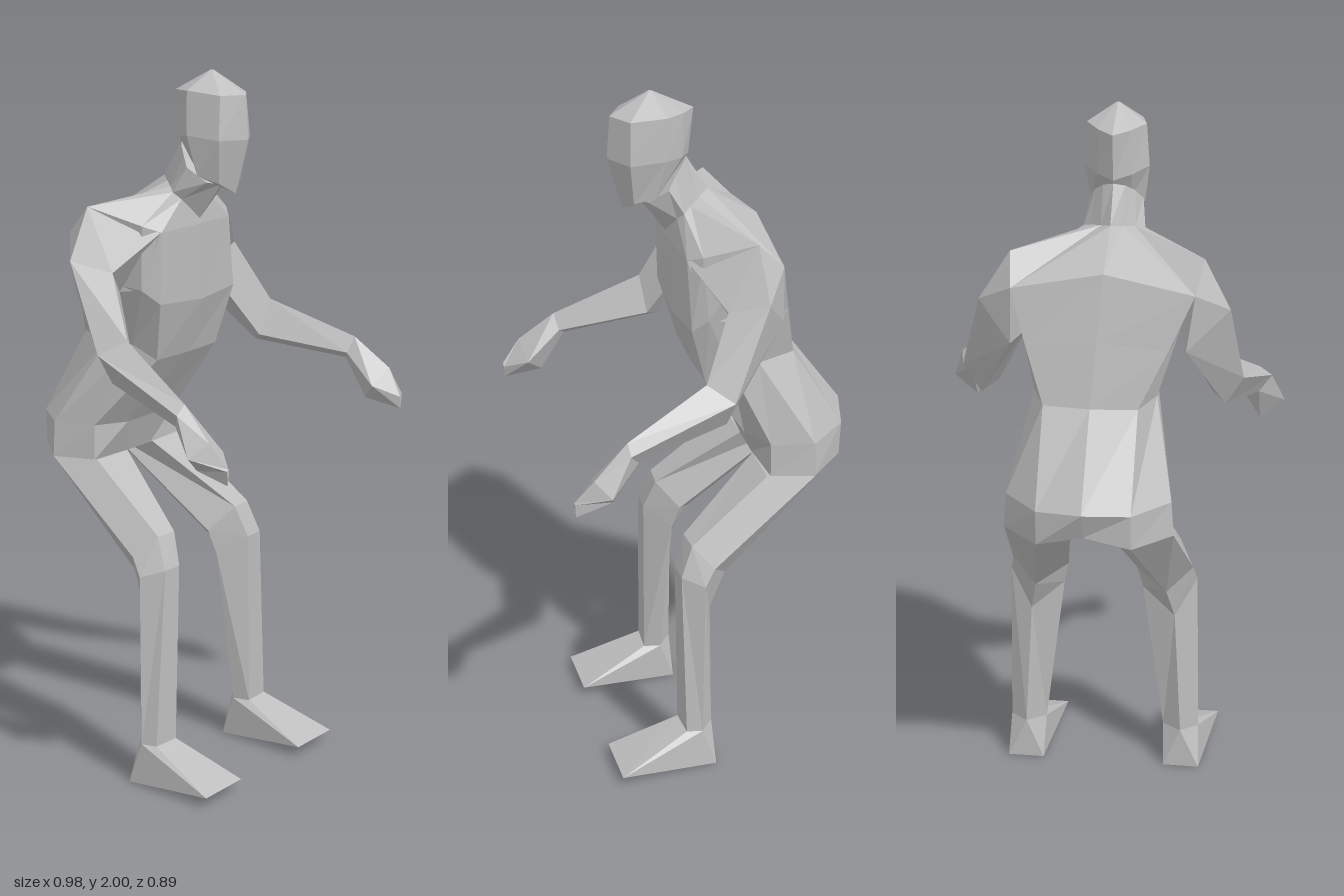
import * as THREE from 'three';
import { ConvexGeometry } from 'three/addons/geometries/ConvexGeometry.js';

const grey = new THREE.MeshStandardMaterial({ color: 0xbebebe, flatShading: true });
grey.name = 'clay grey';

// The upper body sits slightly towards its own right.
const lean = ([x, y, z]) => [x - 0.028 * THREE.MathUtils.clamp((y - 1.25) / 0.35, 0, 1), y, z];

// Skin a list of equal-length rings, closing both ends.
function loft(name, rings) {
  const n = rings[0].length, pos = rings.flat().map(lean), faces = [];
  for (let i = 0; i < rings.length - 1; i++) {
    for (let j = 0; j < n; j++) {
      const a = i * n + j, b = i * n + (j + 1) % n;
      faces.push([a, b, b + n], [a, b + n, a + n]);
    }
  }
  for (let j = 1; j < n - 1; j++) {
    const e = (rings.length - 1) * n;
    faces.push([0, j + 1, j], [e, e + j, e + j + 1]);
  }
  // Turn every face outwards by the sign of the enclosed volume.
  const v = pos.map(p => new THREE.Vector3(...p));
  const volume = faces.reduce((s, [a, b, c]) => s + v[a].dot(v[b].clone().cross(v[c])), 0);
  if (volume < 0) faces.forEach(f => f.reverse());
  const g = new THREE.BufferGeometry();
  g.setAttribute('position', new THREE.Float32BufferAttribute(faces.flat().flatMap(i => pos[i]), 3));
  g.computeVertexNormals();
  const mesh = new THREE.Mesh(g, grey);
  mesh.name = name;
  return mesh;
}

// Complete a half ring (front centre to back centre) by mirroring.
const whole = half => [...half, ...half.slice(1, -1).reverse().map(([x, y, z]) => [-x, y, z])];
const flip = (side, drop = 0) => ([x, y, z]) => [side * x, y - drop, z];

// Half rings from the crotch up to the inside of the head
const torso = [
  [[0, 0.9, -0.17], [0.05, 0.9, -0.17], [0.2, 0.9, -0.18], [0.235, 0.9, -0.3], [0.13, 0.9, -0.405], [0, 0.93, -0.41]],
  [[0, 1, -0.13], [0.11, 1, -0.13], [0.2, 1, -0.18], [0.228, 1, -0.3], [0.13, 1, -0.41], [0, 1.01, -0.445]],
  [[0, 1.2, 0], [0.14, 1.2, -0.005], [0.165, 1.24, -0.07], [0.17, 1.25, -0.15], [0.13, 1.25, -0.262], [0, 1.25, -0.275]],
  [[0, 1.36, 0.055], [0.175, 1.37, 0.04], [0.205, 1.41, 0], [0.21, 1.42, -0.1], [0.195, 1.41, -0.228], [0, 1.43, -0.238]],
  [[0, 1.575, 0.062], [0.16, 1.57, 0.045], [0.2, 1.59, 0.01], [0.265, 1.64, -0.125], [0.25, 1.56, -0.2], [0, 1.61, -0.2]],
  [[0, 1.59, 0.06], [0.065, 1.65, 0.045], [0.085, 1.67, 0.03], [0.06, 1.68, 0.005], [0.03, 1.69, -0.028], [0, 1.7, -0.06]],
  [[0, 1.69, 0.13], [0.05, 1.7, 0.12], [0.075, 1.74, 0.07], [0.055, 1.77, 0.045], [0.03, 1.79, 0.02], [0, 1.8, 0]],
];

// Half rings from chin to crown
const head = [
  [[0, 1.67, 0.18], [0.05, 1.7, 0.16], [0.075, 1.72, 0.105], [0.04, 1.74, 0.07], [0, 1.75, 0.04]],
  [[0, 1.82, 0.22], [0.074, 1.82, 0.175], [0.09, 1.83, 0.08], [0.048, 1.82, 0.025], [0, 1.81, -0.005]],
  [[0, 1.94, 0.212], [0.062, 1.94, 0.17], [0.082, 1.95, 0.075], [0.045, 1.945, 0.02], [0, 1.94, -0.02]],
  [[0, 2, 0.105], [0.004, 2, 0.103], [0.005, 2, 0.1], [0.004, 2, 0.097], [0, 2, 0.095]],
];

// Rings ordered outer, front, inner, back, from shoulder to wrist
const arm = [
  [[0.265, 1.64, -0.125], [0.165, 1.57, 0.045], [0.2, 1.41, 0], [0.25, 1.56, -0.2]],
  [[0.345, 1.5, -0.13], [0.29, 1.47, -0.03], [0.212, 1.4, -0.07], [0.24, 1.4, -0.2]],
  [[0.395, 1.26, -0.015], [0.345, 1.3, 0.05], [0.3, 1.2, 0.04], [0.345, 1.175, -0.005]],
  [[0.455, 1.18, 0.29], [0.42, 1.205, 0.29], [0.395, 1.16, 0.28], [0.42, 1.14, 0.26]],
];
const hand = [
  arm[3],
  [[0.49, 1.08, 0.35], [0.45, 1.12, 0.39], [0.372, 1.08, 0.38], [0.42, 1.03, 0.33]],
  [[0.44, 1.05, 0.44], [0.435, 1.055, 0.442], [0.43, 1.045, 0.44], [0.435, 1.01, 0.438]],
];

// Rings ordered front inner, front outer, outer, back, inner, from hip to ankle
const leg = [
  [[0.06, 0.9, -0.17], [0.2, 0.9, -0.17], [0.235, 0.9, -0.3], [0.13, 0.9, -0.405], [0.05, 0.9, -0.3]],
  [[0.15, 0.72, 0.06], [0.22, 0.72, 0.055], [0.262, 0.66, 0], [0.19, 0.6, -0.05], [0.1, 0.65, 0]],
  [[0.17, 0.63, 0.092], [0.235, 0.63, 0.09], [0.272, 0.61, 0.03], [0.21, 0.5, 0], [0.115, 0.58, 0.02]],
  [[0.185, 0.12, 0.09], [0.27, 0.12, 0.085], [0.28, 0.12, 0.04], [0.23, 0.12, 0], [0.175, 0.12, 0.04]],
];
const foot = [...leg[3], [0.18, 0, 0], [0.285, 0, 0], [0.147, 0.03, 0.29], [0.318, 0.03, 0.29]];

export function createModel() {
  const model = new THREE.Group();
  model.name = 'crouching figure';
  model.add(loft('torso and neck', torso.map(whole)), loft('head', head.map(whole)));

  for (const [side, label, drop] of [[1, 'left', 0], [-1, 'right', 0.03]]) {
    // The right hand hangs a little lower.
    const low = flip(side, drop);
    model.add(
      loft(label + ' arm', arm.map((r, i) => r.map(i > 2 ? low : flip(side)))),
      loft(label + ' hand', hand.map(r => r.map(low))),
      loft(label + ' leg', leg.map(r => r.map(flip(side)))),
    );
    const wedge = new ConvexGeometry(foot.map(p => new THREE.Vector3(...flip(side)(p))));
    const mesh = new THREE.Mesh(wedge, grey);
    mesh.name = label + ' foot';
    model.add(mesh);
  }
  return model;
}
